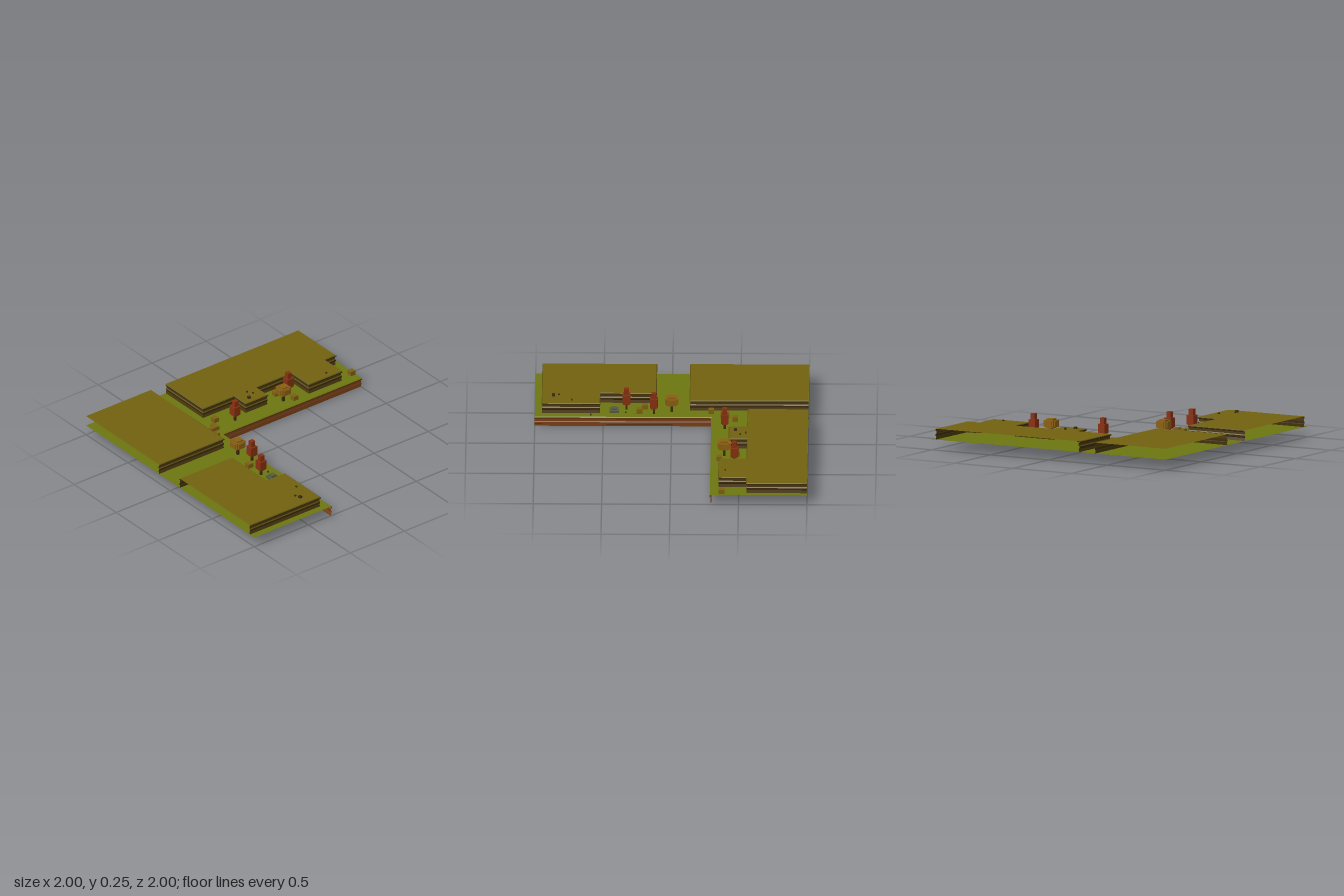
import * as THREE from 'three';

const GROUND = 0.078, TOP = 0.158;
const mat = (color) => new THREE.MeshStandardMaterial({ color, flatShading: true, side: THREE.DoubleSide });
const mats = {
  grass: mat(0x6c7610), plateau: mat(0x72610f), cliff: mat(0x7a4016), cliffDark: mat(0x643412),
  wall: mat(0x4a380e), wallDark: mat(0x3a2a0b), rim: mat(0x5e500e), red: mat(0x86300f),
  bush: mat(0x7d5f12), round: mat(0x8a5f12), trunk: mat(0x3a2c0c), stone: mat(0x565a3c), pebble: mat(0x3a300f),
};

function add(parent, name, geometry, material, x = 0, y = 0, z = 0) {
  const mesh = new THREE.Mesh(geometry, material);
  mesh.name = name;
  mesh.position.set(x, y, z);
  parent.add(mesh);
  return mesh;
}

// box standing on height y
function block(parent, name, material, w, h, d, x, y, z) {
  return add(parent, name, new THREE.BoxGeometry(w, h, d), material, x, y + h / 2, z);
}

// moves a right-angled [x, z] path outwards by d, with mitred corners
function offsetPath(path, d) {
  const normals = path.slice(1).map(([x, z], i) =>
    [Math.sign(z - path[i][1]), -Math.sign(x - path[i][0])]);
  return path.map(([x, z], i) => {
    const a = normals[i - 1], b = normals[i];
    const nx = (a ? a[0] : 0) + (b ? b[0] : 0), nz = (a ? a[1] : 0) + (b ? b[1] : 0);
    return [x + nx * d, z + nz * d];
  });
}

// open layered wall: each profile step [outward offset, y] gives one band along the path
function layeredWall(parent, name, path, profile, materials) {
  const group = new THREE.Group();
  group.name = name;
  for (let k = 0; k < profile.length - 1; k++) {
    const [d0, y0] = profile[k], [d1, y1] = profile[k + 1];
    const upper = offsetPath(path, d0), lower = offsetPath(path, d1);
    const pos = [];
    for (let i = 0; i < path.length - 1; i++) {
      const a = [upper[i][0], y0, upper[i][1]], b = [upper[i + 1][0], y0, upper[i + 1][1]];
      const c = [lower[i + 1][0], y1, lower[i + 1][1]], e = [lower[i][0], y1, lower[i][1]];
      pos.push(...a, ...b, ...c, ...a, ...c, ...e);
    }
    const geo = new THREE.BufferGeometry();
    geo.setAttribute('position', new THREE.Float32BufferAttribute(pos, 3));
    geo.computeVertexNormals();
    add(group, name + 'Layer', geo, materials[k % materials.length]);
  }
  parent.add(group);
}

// horizontal sheet from [x, z] corners
function sheet(parent, name, points, y, material) {
  const shape = new THREE.Shape(points.map(([x, z]) => new THREE.Vector2(x, -z)));
  add(parent, name, new THREE.ShapeGeometry(shape).rotateX(-Math.PI / 2), material, 0, y, 0);
}

function plateau(parent, name, path, extraCorners) {
  sheet(parent, name + 'Top', [...offsetPath(path, -0.006), ...extraCorners], TOP, mats.plateau);
  layeredWall(parent, name + 'Wall', path,
    [[-0.006, TOP], [0, 0.153], [0, 0.146], [-0.008, 0.142], [-0.008, 0.125],
      [-0.003, 0.118], [-0.003, 0.104], [-0.008, 0.1], [-0.003, GROUND]],
    [mats.rim, mats.wallDark, mats.wallDark, mats.wall]);
}

function redTree(x, z) {
  const tree = new THREE.Group();
  tree.name = 'redTree';
  block(tree, 'trunk', mats.trunk, 0.016, 0.05, 0.016, 0, 0, 0);
  block(tree, 'crownBase', mats.red, 0.042, 0.01, 0.042, 0, 0.042, 0);
  block(tree, 'crown', mats.red, 0.057, 0.07, 0.057, 0, 0.052, 0);
  block(tree, 'crownTip', mats.red, 0.035, 0.045, 0.035, 0, 0.122, 0);
  tree.position.set(x, GROUND, z);
  return tree;
}

function roundTree(x, z) {
  const tree = new THREE.Group();
  tree.name = 'roundTree';
  block(tree, 'trunk', mats.trunk, 0.016, 0.065, 0.016, 0, 0, 0);
  // crossing blocks make a stepped ball
  block(tree, 'crownWide', mats.round, 0.097, 0.042, 0.055, 0, 0.07, 0);
  block(tree, 'crownDeep', mats.round, 0.055, 0.042, 0.097, 0, 0.07, 0);
  block(tree, 'crownCore', mats.round, 0.08, 0.052, 0.08, 0, 0.065, 0);
  block(tree, 'crownTall', mats.round, 0.055, 0.07, 0.055, 0, 0.057, 0);
  tree.position.set(x, GROUND, z);
  return tree;
}

export function createModel() {
  const model = new THREE.Group();
  model.name = 'cliffTerrain';

  // L-shaped lower ground and the cliff below its inner edge
  const edge = [[-0.29, -1], [-0.29, 0.28], [1, 0.28]];
  sheet(model, 'ground', [...offsetPath(edge, -0.006), [1, 1], [-1, 1], [-1, -1]], GROUND, mats.grass);
  layeredWall(model, 'cliff', edge,
    [[-0.006, GROUND], [0, 0.072], [0, 0.062], [-0.01, 0.056], [-0.01, 0.04],
      [-0.004, 0.034], [-0.004, 0.02], [-0.012, 0.014], [-0.012, 0]],
    [mats.grass, mats.cliffDark, mats.cliff, mats.cliff, mats.cliffDark, mats.cliff, mats.cliffDark, mats.cliff]);

  // raised plateaus, open along the outer borders
  plateau(model, 'backPlateau', [
    [-1, -0.97], [-0.555, -0.97], [-0.555, -0.868], [-0.35, -0.868], [-0.35, -0.555], [-0.555, -0.555],
    [-0.555, -0.235], [-0.42, -0.235], [-0.42, -0.025], [-0.555, -0.025], [-0.555, 0.265], [-1, 0.265]], []);
  plateau(model, 'cornerPlateau', [[-1, 0.395], [-0.13, 0.395], [-0.13, 1]], [[-1, 1]]);
  plateau(model, 'frontPlateau', [
    [0.11, 1], [0.11, 0.515], [0.52, 0.515], [0.52, 0.345], [0.95, 0.345], [0.95, 1]], []);

  // trees
  for (const [x, z] of [[-0.465, -0.455], [-0.39, 0.095], [0.13, 0.345], [0.33, 0.415]]) model.add(redTree(x, z));
  for (const [x, z] of [[-0.39, -0.35], [0, 0.375]]) model.add(roundTree(x, z));

  // bushes
  for (const [x, z] of [[-0.375, -0.97], [-0.355, -0.425], [-0.485, -0.355], [-0.465, 0.225],
    [-0.29, 0.35], [0.235, 0.35], [0.195, 0.42]]) {
    block(model, 'bush', mats.bush, 0.042, 0.034, 0.042, x, GROUND + 0.003, z);
  }
  block(model, 'cornerBush', mats.bush, 0.066, 0.03, 0.032, -0.39, GROUND, 0.284);
  block(model, 'cornerBushEnd', mats.bush, 0.034, 0.03, 0.034, -0.374, GROUND, 0.317);

  // stepped rock
  block(model, 'rockBase', mats.stone, 0.068, 0.018, 0.068, 0.42, GROUND, 0.38);
  block(model, 'rockTop', mats.stone, 0.042, 0.014, 0.042, 0.42, GROUND + 0.018, 0.38);

  // pebbles: x, z, size, base height
  for (const [x, z, s, y] of [
    [-0.4, -0.755, 0.012, TOP], [-0.545, -0.135, 0.012, TOP], [-0.505, -0.16, 0.012, TOP],
    [-0.47, -0.095, 0.022, TOP], [0.73, 0.4, 0.012, TOP], [0.825, 0.485, 0.013, TOP],
    [0.865, 0.47, 0.022, TOP], [0.335, 0.355, 0.012, GROUND], [0.59, 0.315, 0.011, GROUND]]) {
    block(model, 'pebble', mats.pebble, s, s * 0.65, s, x, y, z);
  }
  return model;
}
